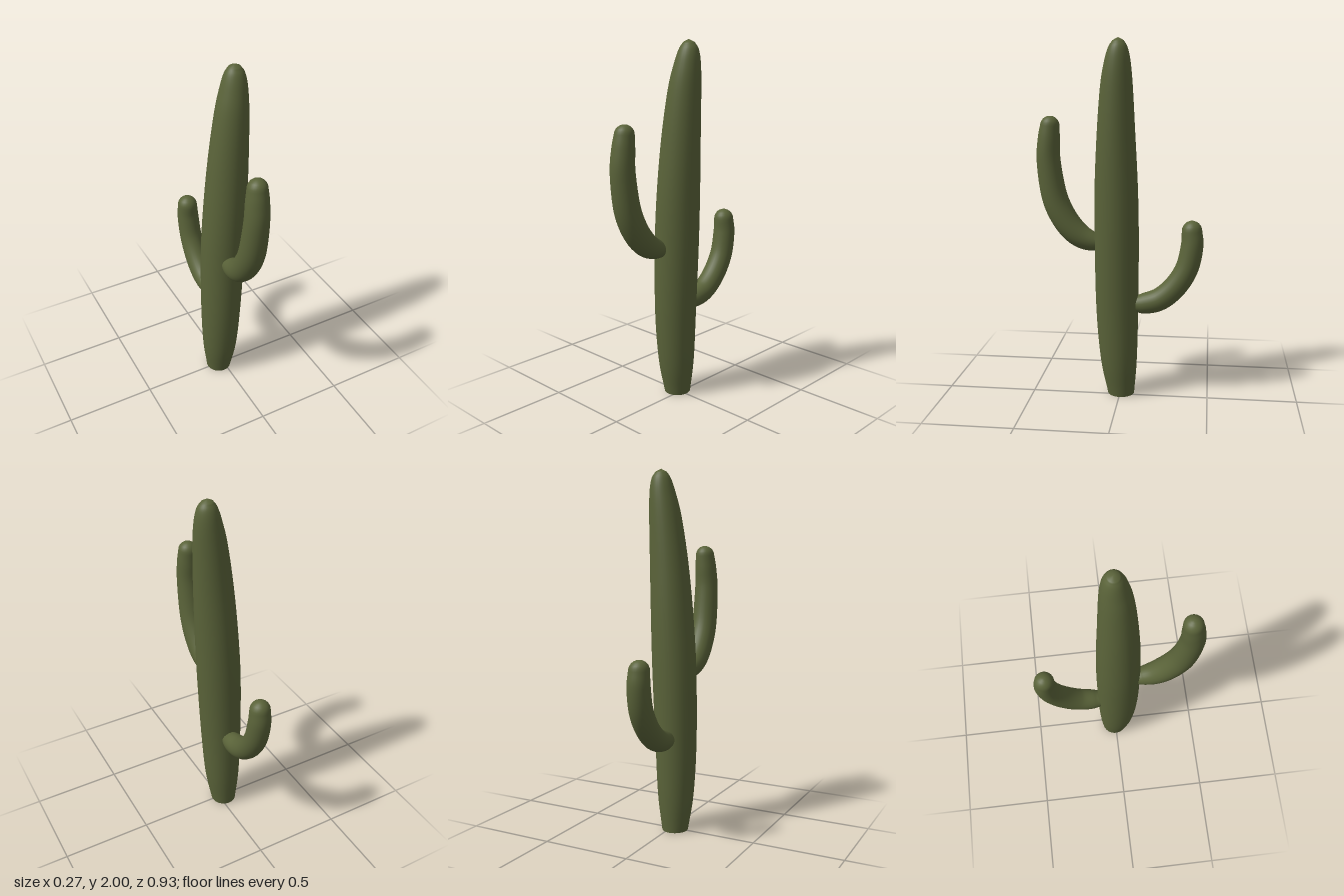
import * as THREE from 'three';

const SIDES = 28;
const X = new THREE.Vector3(1, 0, 0);

// Smooth skin through rings { c: centre, t: direction, rx, rz }, with a tip at the far end.
function skin(rings, tip) {
  const pos = [], index = [];
  for (const { c, t, rx, rz } of rings) {
    const v = new THREE.Vector3().crossVectors(t, X).normalize();
    for (let i = 0; i < SIDES; i++) {
      const a = (i / SIDES) * Math.PI * 2;
      const p = c.clone().addScaledVector(X, rx * Math.cos(a)).addScaledVector(v, rz * Math.sin(a));
      pos.push(p.x, p.y, p.z);
    }
  }
  const top = rings.length * SIDES;
  pos.push(tip.x, tip.y, tip.z);
  for (let j = 0; j < rings.length; j++) {
    for (let i = 0; i < SIDES; i++) {
      const a = j * SIDES + i, b = j * SIDES + ((i + 1) % SIDES);
      if (j === rings.length - 1) index.push(a, b, top);
      else index.push(a, b, b + SIDES, a, b + SIDES, a + SIDES);
    }
  }
  const g = new THREE.BufferGeometry();
  g.setAttribute('position', new THREE.Float32BufferAttribute(pos, 3));
  g.setIndex(index);
  g.computeVertexNormals();
  return g;
}

const curve = (pts) => new THREE.CatmullRomCurve3(pts.map((p) => new THREE.Vector3(...p)), false, 'catmullrom', 0.5);

// Trunk outline: height, min x, max x, min z, max z
const TRUNK = [
  [0, -0.1, 0.045, -0.08, 0.07],
  [0.2, -0.125, 0.075, -0.095, 0.11],
  [0.5, -0.136, 0.093, -0.102, 0.135],
  [0.9, -0.132, 0.112, -0.105, 0.141],
  [1.2, -0.113, 0.121, -0.1, 0.138],
  [1.5, -0.083, 0.128, -0.086, 0.122],
  [1.75, -0.045, 0.131, -0.074, 0.1],
  [1.88, -0.013, 0.127, -0.063, 0.076],
  [1.95, 0.01, 0.115, -0.048, 0.054],
  [1.985, 0.032, 0.093, -0.027, 0.031],
];

function trunkGeometry() {
  const centres = curve(TRUNK.map(([y, x0, x1, z0, z1]) => [(x0 + x1) / 2, y, (z0 + z1) / 2]));
  const radii = curve(TRUNK.map(([, x0, x1, z0, z1]) => [(x1 - x0) / 2, 0, (z1 - z0) / 2]));
  const rings = [];
  for (let i = 0; i <= 45; i++) {
    const r = radii.getPoint(i / 45);
    rings.push({ c: centres.getPoint(i / 45), t: new THREE.Vector3(0, 1, 0), rx: r.x, rz: r.z });
  }
  return skin(rings, new THREE.Vector3(0.062, 2, 0.002));
}

// Arm path rows: x, y, z, radius; ends in a rounded tip
function armGeometry(path) {
  const centres = curve(path.map(([x, y, z]) => [x, y, z]));
  const radii = curve(path.map((p) => [p[3], 0, 0]));
  const rings = [];
  for (let i = 0; i <= 36; i++) {
    const r = radii.getPoint(i / 36).x;
    rings.push({ c: centres.getPoint(i / 36), t: centres.getTangent(i / 36), rx: r, rz: r });
  }
  const { c, t, rx } = rings[rings.length - 1];
  for (let k = 1; k < 6; k++) {
    const a = (k / 6) * Math.PI / 2, r = rx * Math.cos(a);
    rings.push({ c: c.clone().addScaledVector(t, rx * Math.sin(a)), t, rx: r, rz: r });
  }
  return skin(rings, c.clone().addScaledVector(t, rx));
}

export function createModel() {
  const model = new THREE.Group();
  model.name = 'cactus';
  const green = new THREE.MeshStandardMaterial({ color: 0x5a6339 });
  green.name = 'cactus green';
  const add = (name, geometry) => {
    const mesh = new THREE.Mesh(geometry, green);
    mesh.name = name;
    model.add(mesh);
    return mesh;
  };

  add('trunk', trunkGeometry());

  // Flat underside of the trunk
  const base = add('trunkBase', new THREE.CircleGeometry(1, SIDES));
  base.rotation.x = Math.PI / 2;
  base.scale.set(0.0725, 0.075, 1);
  base.position.set(-0.0275, 0, -0.005);

  add('frontArm', armGeometry([
    [-0.025, 0.895, 0.09, 0.035],
    [-0.026, 0.893, 0.16, 0.055],
    [-0.027, 0.935, 0.243, 0.068],
    [-0.027, 1.025, 0.317, 0.072],
    [-0.027, 1.15, 0.37, 0.071],
    [-0.025, 1.34, 0.398, 0.066],
    [-0.022, 1.46, 0.394, 0.061],
    [-0.02, 1.535, 0.387, 0.053],
  ]));

  add('backArm', armGeometry([
    [-0.02, 0.54, -0.07, 0.042],
    [-0.02, 0.543, -0.14, 0.059],
    [-0.02, 0.573, -0.228, 0.064],
    [-0.02, 0.65, -0.312, 0.065],
    [-0.02, 0.755, -0.373, 0.064],
    [-0.022, 0.88, -0.399, 0.062],
    [-0.024, 0.965, -0.397, 0.056],
  ]));

  return model;
}
